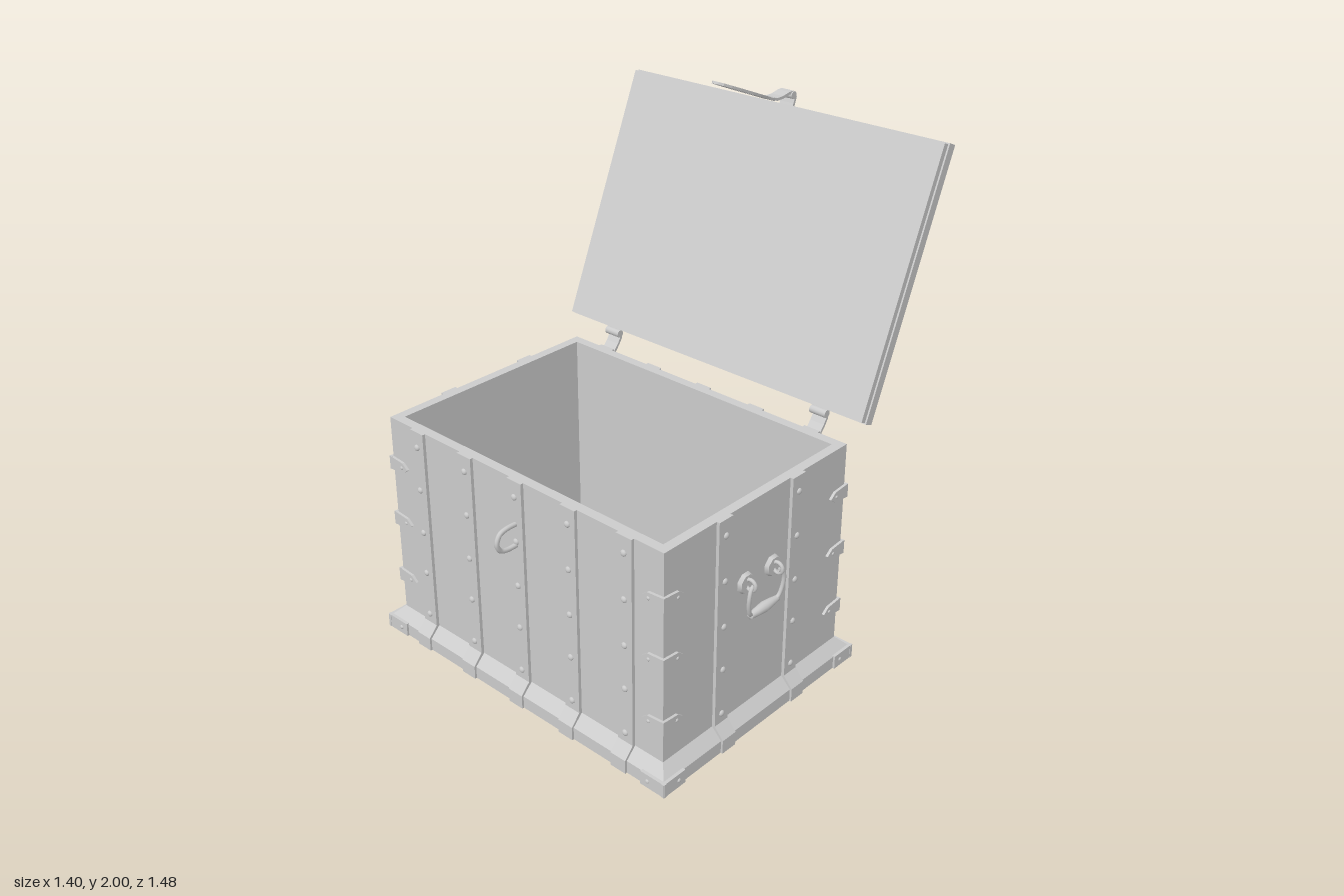
import * as THREE from 'three';

const mat = new THREE.MeshStandardMaterial({ color: 0xcccccc, side: THREE.DoubleSide });
const CZ = 0.175, HW = 0.645, HD = 0.46, TOP = 0.88;

function add(parent, name, geo, x = 0, y = 0, z = 0) {
  const m = new THREE.Mesh(geo, mat);
  m.name = name;
  m.position.set(x, y, z);
  parent.add(m);
  return m;
}

// Extrudes a (z, y) outline across x, centred on x = 0
function profile(points, width) {
  const shape = new THREE.Shape(points.map(p => new THREE.Vector2(p[0], p[1])));
  const g = new THREE.ExtrudeGeometry(shape, { depth: width, bevelEnabled: false });
  return g.translate(0, 0, -width / 2).rotateY(-Math.PI / 2);
}

// Bent metal strip: thickens a (z, y) path
function ribbon(points, t, width) {
  const a = [], b = [];
  points.forEach((p, i) => {
    const p0 = points[Math.max(i - 1, 0)], p1 = points[Math.min(i + 1, points.length - 1)];
    const dz = p1[0] - p0[0], dy = p1[1] - p0[1], l = Math.hypot(dz, dy);
    const nz = -dy / l * t / 2, ny = dz / l * t / 2;
    a.push([p[0] + nz, p[1] + ny]);
    b.unshift([p[0] - nz, p[1] - ny]);
  });
  return profile([...a, ...b], width);
}

// Stacks rectangular rings [half width, half depth, y]
function loftRects(rings) {
  const pos = [], corners = [[1, 1], [1, -1], [-1, -1], [-1, 1]];
  const pt = (r, j) => [r[0] * corners[j % 4][0], r[2], r[1] * corners[j % 4][1]];
  for (let i = 0; i < rings.length - 1; i++) for (let j = 0; j < 4; j++) {
    const a = pt(rings[i], j), b = pt(rings[i], j + 1);
    const c = pt(rings[i + 1], j + 1), d = pt(rings[i + 1], j);
    pos.push(...a, ...b, ...c, ...a, ...c, ...d);
  }
  const g = new THREE.BufferGeometry();
  g.setAttribute('position', new THREE.Float32BufferAttribute(pos, 3));
  g.computeVertexNormals();
  return g;
}

// Domed rivet facing +z
const rivetGeo = new THREE.SphereGeometry(0.012, 10, 5, 0, Math.PI * 2, 0, Math.PI / 2)
  .rotateX(Math.PI / 2).scale(1, 1, 0.7);
const strapGeo = profile([[-0.01, 0], [0.048, 0], [0.048, 0.052], [0.012, 0.093], [0.012, TOP], [-0.01, TOP]], 0.066);

// Pointed corner bracket arm running along +x from the corner
const armShape = new THREE.Shape([[0, -0.026], [0.07, -0.02], [0.095, 0], [0.07, 0.02], [0, 0.026]]
  .map(p => new THREE.Vector2(...p)));
const armGeo = new THREE.ExtrudeGeometry(armShape, { depth: 0.01, bevelEnabled: false });

// Straps, rivets, brackets and base corner plates of one wall, in wall space facing +z
function wallFittings(name, half, dist, straps) {
  const g = new THREE.Group();
  g.name = name;
  for (const x of straps) {
    add(g, 'wallStrap', strapGeo, x, 0, dist);
    for (const y of [0.82, 0.65, 0.476, 0.307, 0.13]) add(g, 'rivet', rivetGeo, x, y, dist + 0.012);
  }
  for (const s of [-1, 1]) {
    for (const y of [0.7, 0.472, 0.23]) {
      const arm = add(g, 'cornerBracket', armGeo, s * (half + 0.01), y, dist + (s > 0 ? 0.01 : 0));
      if (s > 0) arm.rotation.y = Math.PI;
      add(g, 'rivet', rivetGeo, s * (half - 0.055), y, dist + 0.009).scale.setScalar(0.6);
    }
    add(g, 'baseCornerPlate', new THREE.BoxGeometry(0.105, 0.052, 0.012), s * (half - 0.003), 0.026, dist + 0.042);
    add(g, 'rivet', rivetGeo, s * (half - 0.025), 0.026, dist + 0.047).scale.setScalar(0.7);
  }
  return g;
}

// Drop handle in wall space, hanging at x = 0
function handle(dist) {
  const g = new THREE.Group();
  g.name = 'sideHandle';
  g.position.z = dist;
  const plate = new THREE.CylinderGeometry(0.034, 0.04, 0.014, 8).rotateY(Math.PI / 8).rotateX(Math.PI / 2);
  for (const s of [-1, 1]) {
    add(g, 'handlePlate', plate, s * 0.07, 0.585, 0.007);
    const eye = add(g, 'handleEye', new THREE.TorusGeometry(0.02, 0.007, 8, 16), s * 0.07, 0.585, 0.026);
    eye.rotation.y = Math.PI / 2;
  }
  const path = [[-0.06, 0.583, 0.034], [-0.078, 0.58, 0.036], [-0.09, 0.55, 0.038], [-0.085, 0.5, 0.034], [-0.07, 0.472, 0.03]];
  const pts = [...path, [0, 0.464, 0.028], ...path.map(p => [-p[0], p[1], p[2]]).reverse()];
  const curve = new THREE.CatmullRomCurve3(pts.map(p => new THREE.Vector3(...p)));
  add(g, 'handleBail', new THREE.TubeGeometry(curve, 48, 0.0075, 8));
  const grip = [[0, -0.075], [0.011, -0.073], [0.011, -0.066], [0.015, -0.04], [0.019, 0],
    [0.015, 0.04], [0.011, 0.066], [0.011, 0.073], [0, 0.075]].map(p => new THREE.Vector2(...p));
  add(g, 'handleGrip', new THREE.LatheGeometry(grip, 14).rotateZ(Math.PI / 2), 0, 0.466, 0.028);
  return g;
}

// Lid in its own space: hinge edge at y = 0, inner face at z = 0
function buildLid() {
  const lid = new THREE.Group();
  lid.name = 'lid';
  const W = 1.385, H = 0.965;
  add(lid, 'lidPanel', new THREE.BoxGeometry(W - 0.012, H - 0.01, 0.024), 0, H / 2, -0.012);
  add(lid, 'lidBoard', new THREE.BoxGeometry(W, H, 0.026), 0, H / 2, -0.035);
  for (const s of [-1, 1]) {
    add(lid, 'lidRimSide', new THREE.BoxGeometry(0.024, H, 0.01), s * (W / 2 - 0.012), H / 2, -0.052);
    add(lid, 'lidRimEnd', new THREE.BoxGeometry(W, 0.024, 0.01), 0, H / 2 + s * (H / 2 - 0.012), -0.052);
  }
  for (const x of [-0.49, -0.245, 0, 0.245, 0.49]) {
    add(lid, 'lidStrap', new THREE.BoxGeometry(0.066, H, 0.014), x, H / 2, -0.054);
    for (let i = 0; i < 5; i++) {
      add(lid, 'rivet', rivetGeo, x, 0.1 + i * 0.19, -0.061).rotation.y = Math.PI;
    }
  }
  lid.position.set(0, 0.965, -0.3);
  lid.rotation.x = -0.396;
  return lid;
}

// Hasp hinged on the lid's free edge, swung forward
function buildHasp() {
  const g = new THREE.Group();
  g.name = 'hasp';
  add(g, 'haspKnuckle', new THREE.CylinderGeometry(0.014, 0.014, 0.06, 12).rotateZ(Math.PI / 2), 0, 1.876, -0.722);
  add(g, 'haspLeaf', ribbon([[-0.7, 1.79], [-0.725, 1.845], [-0.734, 1.87]], 0.01, 0.06));
  add(g, 'haspNeck', ribbon([[-0.722, 1.887], [-0.7, 1.886], [-0.665, 1.879], [-0.635, 1.878], [-0.61, 1.884]], 0.01, 0.052));
  const side = [[0.026, 0], [0.029, 0.04], [0.038, 0.1], [0.041, 0.15], [0.04, 0.22], [0.036, 0.265], [0.026, 0.3], [0.013, 0.313]];
  const outline = [...side, ...side.map(p => [-p[0], p[1]]).reverse()];
  const shape = new THREE.Shape(outline.map(p => new THREE.Vector2(...p)));
  const slot = new THREE.Path();
  slot.absarc(0, 0.205, 0.014, 0, Math.PI, false);
  slot.absarc(0, 0.12, 0.014, Math.PI, Math.PI * 2, false);
  shape.holes.push(slot);
  const plate = new THREE.ExtrudeGeometry(shape, { depth: 0.009, bevelEnabled: false, curveSegments: 8 });
  add(g, 'haspPlate', plate, 0, 1.884, -0.62).rotation.x = Math.PI / 2 - 0.37;
  return g;
}

export function createModel() {
  const model = new THREE.Group();
  model.name = 'chest';

  // Open box with flared plinth, walls and floor
  add(model, 'chestBody', loftRects([
    [0, 0, 0], [HW + 0.04, HD + 0.04, 0], [HW + 0.04, HD + 0.04, 0.048], [HW, HD, 0.088],
    [HW, HD, TOP], [HW - 0.036, HD - 0.036, TOP], [HW - 0.036, HD - 0.036, 0.05], [0, 0, 0.05]
  ]), 0, 0, CZ);

  // Metal fittings on the four walls
  const long = [-0.49, -0.245, 0, 0.245, 0.49], short = [-0.185, 0.185];
  ['front', 'left', 'back', 'right'].forEach((side, i) => {
    const end = i % 2 === 1;
    const wall = wallFittings(side + 'Fittings', end ? HD : HW, end ? HW : HD, end ? short : long);
    if (end) wall.add(handle(HW));
    wall.position.z = CZ;
    wall.rotation.y = i * Math.PI / 2;
    model.add(wall);
  });

  // Staple for the hasp
  const staple = new THREE.CatmullRomCurve3([[0.63, 0.717], [0.69, 0.717], [0.717, 0.708], [0.731, 0.677],
    [0.717, 0.647], [0.69, 0.638], [0.63, 0.638]].map(p => new THREE.Vector3(0, p[1], p[0])));
  add(model, 'staple', new THREE.TubeGeometry(staple, 32, 0.009, 8));

  // Strap hinges between back wall and lid
  for (const x of [-0.49, 0.49]) {
    const hinge = new THREE.Group();
    hinge.name = 'hinge';
    hinge.position.x = x;
    add(hinge, 'hingeStrap', ribbon([[-0.298, 0.72], [-0.298, 0.84], [-0.305, 0.862], [-0.328, 0.89], [-0.342, 0.912], [-0.345, 0.932]], 0.01, 0.058));
    add(hinge, 'hingeKnuckle', new THREE.CylinderGeometry(0.015, 0.015, 0.066, 12).rotateZ(Math.PI / 2), 0, 0.932, -0.334);
    add(hinge, 'hingeLeaf', ribbon([[-0.34, 0.925], [-0.354, 0.945], [-0.385, 1.02]], 0.012, 0.045));
    model.add(hinge);
  }

  model.add(buildLid(), buildHasp());
  return model;
}
